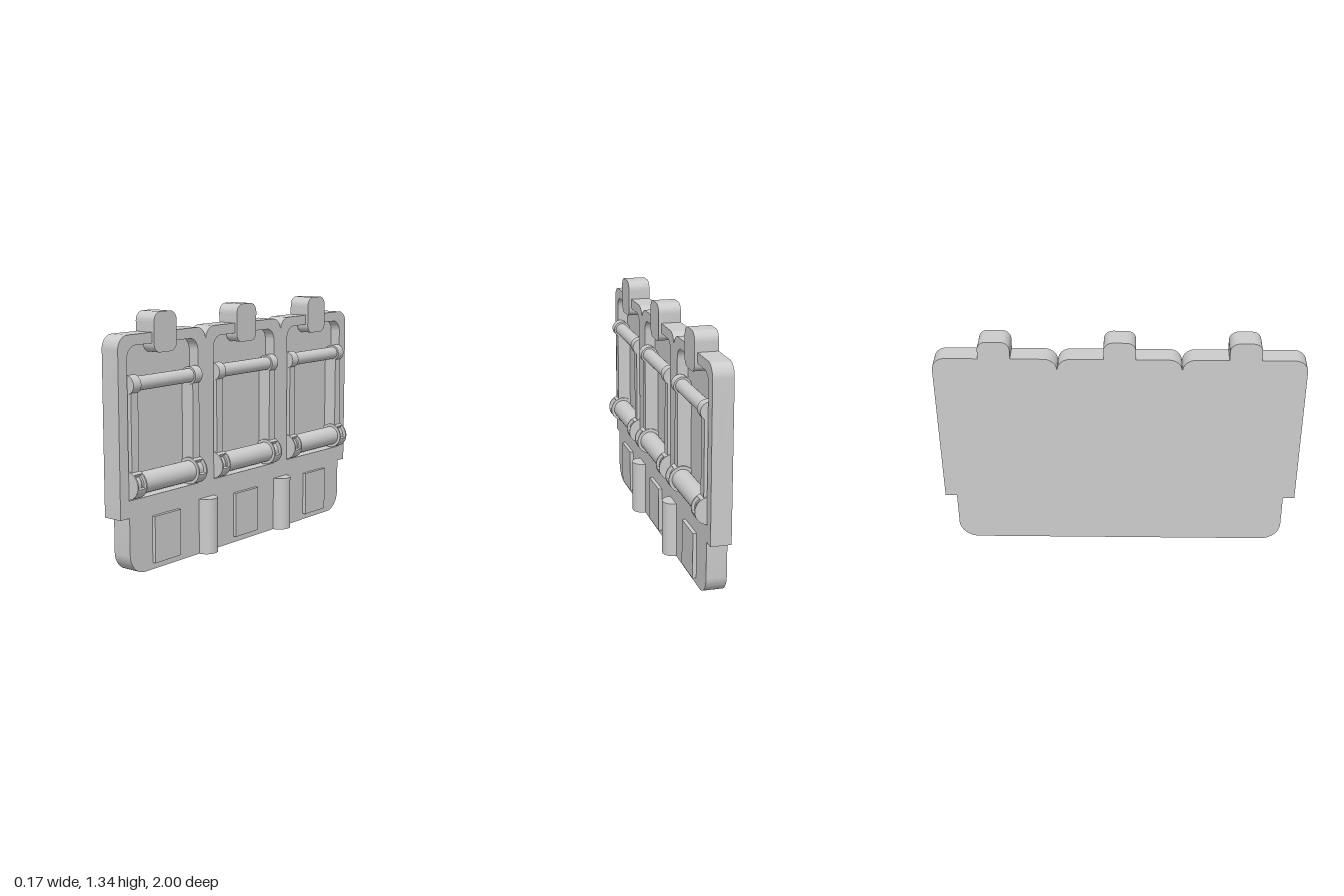
import * as THREE from 'three';
import { toCreasedNormals } from 'three/addons/utils/BufferGeometryUtils.js';

const material = new THREE.MeshStandardMaterial({ color: 0xcccccc });
const BACK = -0.09, FLOOR = -0.04, FACE = 0.02;
const PITCH = 0.667;

function addMesh(parent, name, geometry) {
  const mesh = new THREE.Mesh(geometry, material);
  mesh.name = name;
  parent.add(mesh);
  return mesh;
}

// Extrude a side-on shape (shape x = -z) from x0 to x1
function slab(shape, x0, x1) {
  const g = new THREE.ExtrudeGeometry(shape, { depth: x1 - x0, bevelEnabled: false, curveSegments: 10 });
  g.translate(0, 0, x0).rotateY(Math.PI / 2);
  return toCreasedNormals(g, 0.6);
}

// Rectangle with separate radii for the bottom and top corners
function roundedRect(path, cx, w, y0, y1, rb, rt) {
  const a = cx - w / 2, b = cx + w / 2, q = Math.PI / 2;
  path.moveTo(a + rb, y0);
  path.lineTo(b - rb, y0);
  if (rb) path.absarc(b - rb, y0 + rb, rb, -q, 0, false);
  path.lineTo(b, y1 - rt);
  path.absarc(b - rt, y1 - rt, rt, 0, q, false);
  path.lineTo(a + rt, y1);
  path.absarc(a + rt, y1 - rt, rt, q, 2 * q, false);
  path.lineTo(a, y0 + rb);
  if (rb) path.absarc(a + rb, y0 + rb, rb, 2 * q, 3 * q, false);
  return path;
}

// Plate silhouette: stepped foot, rounded shoulders, two scalloped notches on top
function plateOutline() {
  const s = new THREE.Shape(), q = Math.PI / 2, r = 0.07, top = 1.235;
  s.moveTo(-0.83, 0);
  s.lineTo(0.83, 0);
  s.absarc(0.825, 0.11, 0.11, -q, 0, false);
  s.lineTo(0.935, 0.305);
  s.lineTo(1, 0.305);
  for (const c of [PITCH, 0, -PITCH]) {
    const h = 0.333;
    s.lineTo(c + h, top - r);
    s.absarc(c + h - r, top - r, r, 0, q, false);
    s.lineTo(c - h + r, top);
    s.absarc(c - h + r, top - r, r, q, 2 * q, false);
  }
  s.lineTo(-1, 0.305);
  s.lineTo(-0.935, 0.305);
  s.lineTo(-0.935, 0.11);
  s.absarc(-0.825, 0.11, 0.11, 2 * q, 3 * q, false);
  return s;
}

// Cylinder lying along z
function rod(r, length, x, y, z) {
  return new THREE.CylinderGeometry(r, r, length, 32).rotateX(Math.PI / 2).translate(x, y, z);
}

// Collar with a slot cut into its upper front, lying along z
function slottedCollar(r, slotR, width) {
  const s = new THREE.Shape(), a0 = -0.2, a1 = 0.95;
  s.absarc(0, 0, r, a1, a0 + Math.PI * 2, false);
  s.absarc(0, 0, slotR, a0, a1, false);
  const g = new THREE.ExtrudeGeometry(s, { depth: width, bevelEnabled: false, curveSegments: 28 });
  return toCreasedNormals(g.translate(0, 0, -width / 2), 0.6);
}

// One bay: latch tab, rails, two rods with collars and the lower pad
function bay() {
  const g = new THREE.Group();
  g.name = 'bay';
  const tab = roundedRect(new THREE.Shape(), 0, 0.172, 1.13, 1.338, 0.045, 0.05);
  addMesh(g, 'topTab', slab(tab, BACK, 0.035));

  addMesh(g, 'upperRod', rod(0.037, 0.44, 0.01, 0.985, 0));
  addMesh(g, 'lowerRod', rod(0.056, 0.44, 0.01, 0.472, 0));
  for (const side of [-1, 1]) {
    const z = side * 0.235;
    addMesh(g, 'sideRail', new THREE.BoxGeometry(0.035 - FLOOR, 0.52, 0.052)
      .translate((0.035 + FLOOR) / 2, 0.74, z));
    addMesh(g, 'upperCollar', rod(0.048, 0.056, 0.009, 0.985, z));
    addMesh(g, 'lowerCollar', slottedCollar(0.073, 0.052, 0.056)).position.set(0.01, 0.472, z);
    for (const end of [-1, 1]) {
      addMesh(g, 'collarFlange', rod(0.073, 0.008, 0.01, 0.472, z + end * 0.031));
    }
  }

  addMesh(g, 'lowerPad', new THREE.BoxGeometry(0.04, 0.25, 0.2).translate(0.02, 0.16, 0));
  return g;
}

export function createModel() {
  const model = new THREE.Group();
  model.name = 'panel';

  // Solid back and a front layer with three arched recesses
  addMesh(model, 'backPlate', slab(plateOutline(), BACK, FLOOR));
  const front = plateOutline();
  for (const c of [-PITCH, 0, PITCH]) {
    front.holes.push(roundedRect(new THREE.Path(), c, 0.54, 0.395, 1.18, 0, 0.065));
  }
  addMesh(model, 'frontFrame', slab(front, FLOOR, FACE));

  for (const z of [-PITCH, 0, PITCH]) {
    const b = bay();
    b.position.z = z;
    model.add(b);
  }

  // Half-round posts between the bays
  for (const z of [-0.333, 0.333]) {
    addMesh(model, 'post', new THREE.CylinderGeometry(0.062, 0.062, 0.305, 32, 1, false, 0, Math.PI)
      .translate(FACE, 0.1525, z));
  }
  return model;
}
